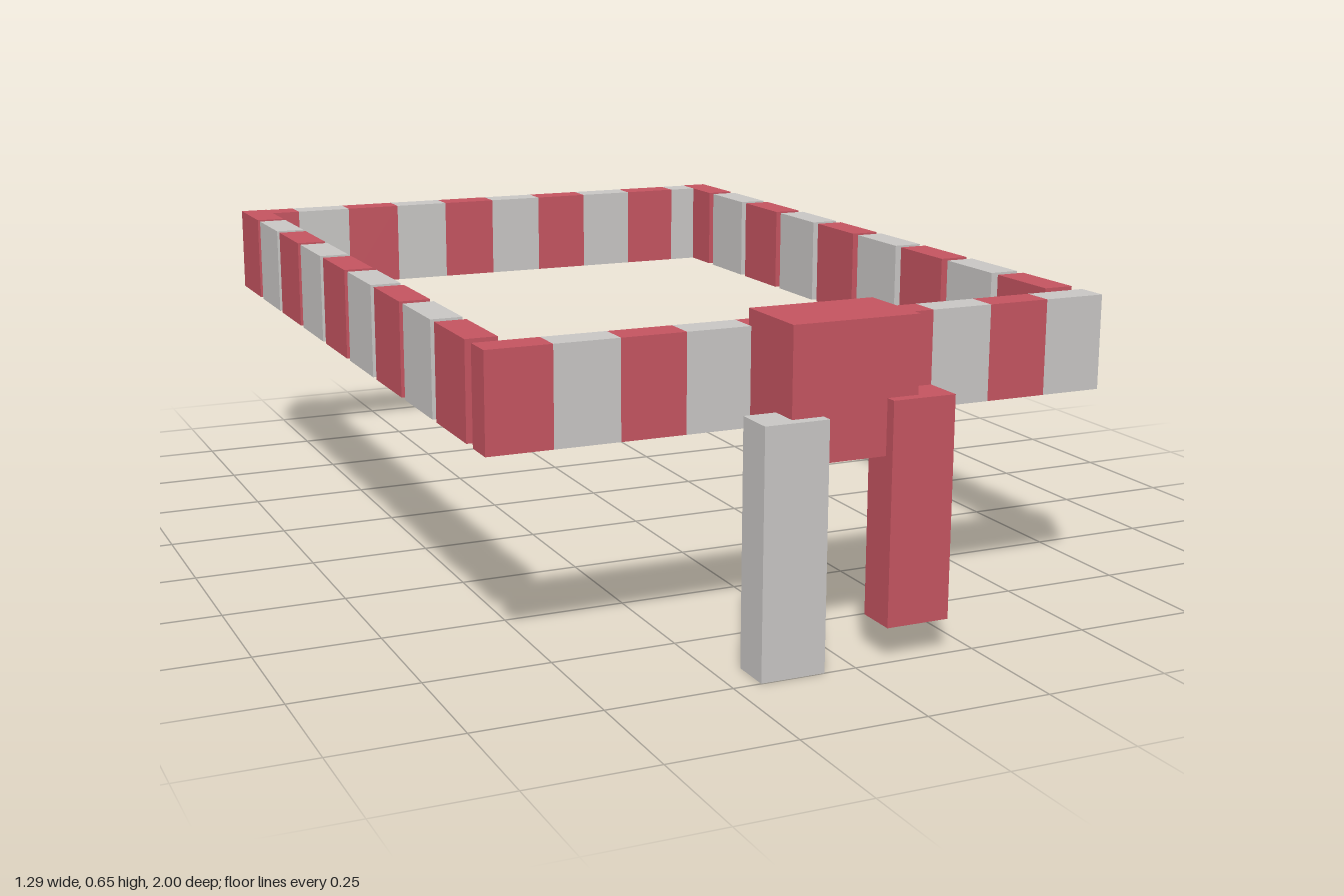
import * as THREE from 'three';

export function createModel() {
  const group = new THREE.Group();
  const red = new THREE.MeshStandardMaterial({ color: 0xc45460 });
  red.name = 'red';
  const grey = new THREE.MeshStandardMaterial({ color: 0xc8c6c4 });
  grey.name = 'light grey';

  // Box given by its lower and upper limits on each axis
  function box(name, material, [x0, x1], [y0, y1], [z0, z1]) {
    const mesh = new THREE.Mesh(new THREE.BoxGeometry(x1 - x0, y1 - y0, z1 - z0), material);
    mesh.position.set((x0 + x1) / 2, (y0 + y1) / 2, (z0 + z1) / 2);
    mesh.name = name;
    group.add(mesh);
  }

  const half = 0.645, inner = 0.582, stripe = 0.129;
  const rail = [0.424, 0.615];

  // Striped front and back bars; the back bar fits between the side rows
  for (let i = 0; i < 10; i++) {
    const material = i % 2 ? grey : red;
    const x0 = -half + i * stripe, x1 = x0 + stripe;
    box('frontBarStripe', material, [x0, x1], rail, [0.75, 0.815]);
    box('backBarStripe', material,
      [Math.max(x0, -inner), Math.min(x1, inner)], rail, [-0.995, -0.932]);
  }

  // Rows of spaced blocks along both sides
  for (let i = 0; i < 9; i++) {
    const material = i % 2 ? grey : red;
    const z0 = -1 + i * 0.1931;
    box('leftSideBlock', material, [inner, half], rail, [z0, z0 + 0.17]);
    box('rightSideBlock', material, [-half, -inner], rail, [z0, z0 + 0.17]);
  }

  // Front block with two hanging legs
  box('frontBlock', red, [-0.129, 0.129], [0.389, 0.647], [0.805, 0.977]);
  box('rightLeg', grey, [-0.194, -0.065], [0, 0.476], [0.916, 1]);
  box('leftLeg', red, [0.065, 0.194], [0.067, 0.497], [0.916, 1]);

  return group;
}
